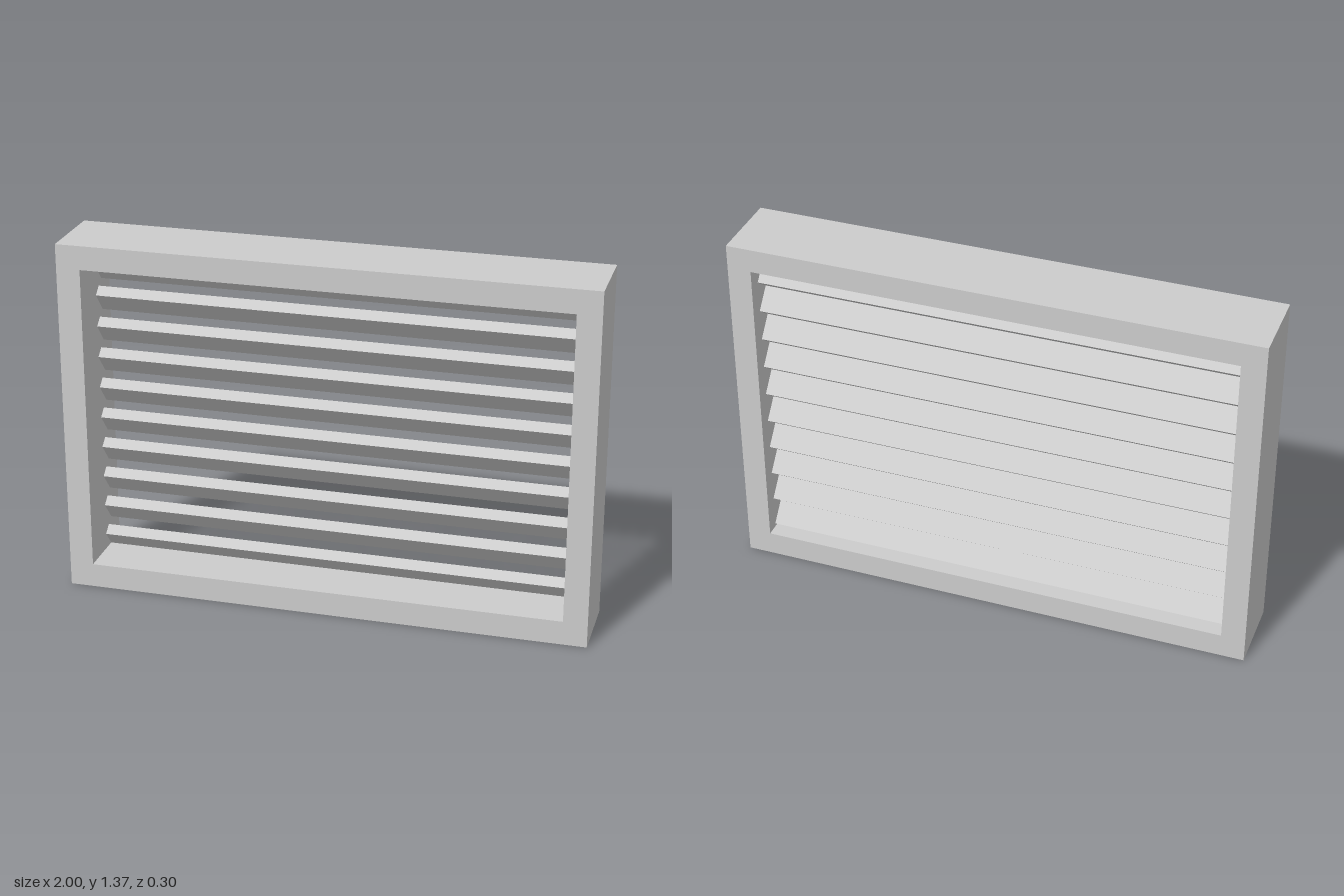
import * as THREE from 'three';

const WIDTH = 2, HEIGHT = 1.37, DEPTH = 0.296, BORDER = 0.091;
const SLATS = 10, PITCH = 0.1223, TOP_SLAT_Y = 1.23, SLAT_Z = -0.05;
const SLAT_WIDTH = 0.097, SLAT_THICKNESS = 0.043, TILT = THREE.MathUtils.degToRad(50);

function rectangle(PathType, x, y0, y1) {
  return new PathType([[-x, y0], [x, y0], [x, y1], [-x, y1]].map(([a, b]) => new THREE.Vector2(a, b)));
}

export function createModel() {
  const model = new THREE.Group();
  model.name = 'louverVent';
  const material = new THREE.MeshStandardMaterial({ color: 0xcccccc });

  // Rectangular surround with an open centre
  const outline = rectangle(THREE.Shape, WIDTH / 2, 0, HEIGHT);
  outline.holes.push(rectangle(THREE.Path, WIDTH / 2 - BORDER, BORDER + 0.002, HEIGHT - BORDER));
  const frameGeometry = new THREE.ExtrudeGeometry(outline, { depth: DEPTH, bevelEnabled: false });
  frameGeometry.translate(0, 0, -DEPTH / 2);
  const frame = new THREE.Mesh(frameGeometry, material);
  frame.name = 'frame';
  model.add(frame);

  // Tilted slats, high at the front and low at the back
  const slats = new THREE.Group();
  slats.name = 'slats';
  const slatGeometry = new THREE.BoxGeometry(WIDTH - 2 * BORDER, SLAT_THICKNESS, SLAT_WIDTH);
  for (let i = 0; i < SLATS; i++) {
    const slat = new THREE.Mesh(slatGeometry, material);
    slat.name = `slat${i + 1}`;
    slat.position.set(0, TOP_SLAT_Y - i * PITCH, SLAT_Z);
    slat.rotation.x = -TILT;
    slats.add(slat);
  }
  model.add(slats);
  return model;
}
